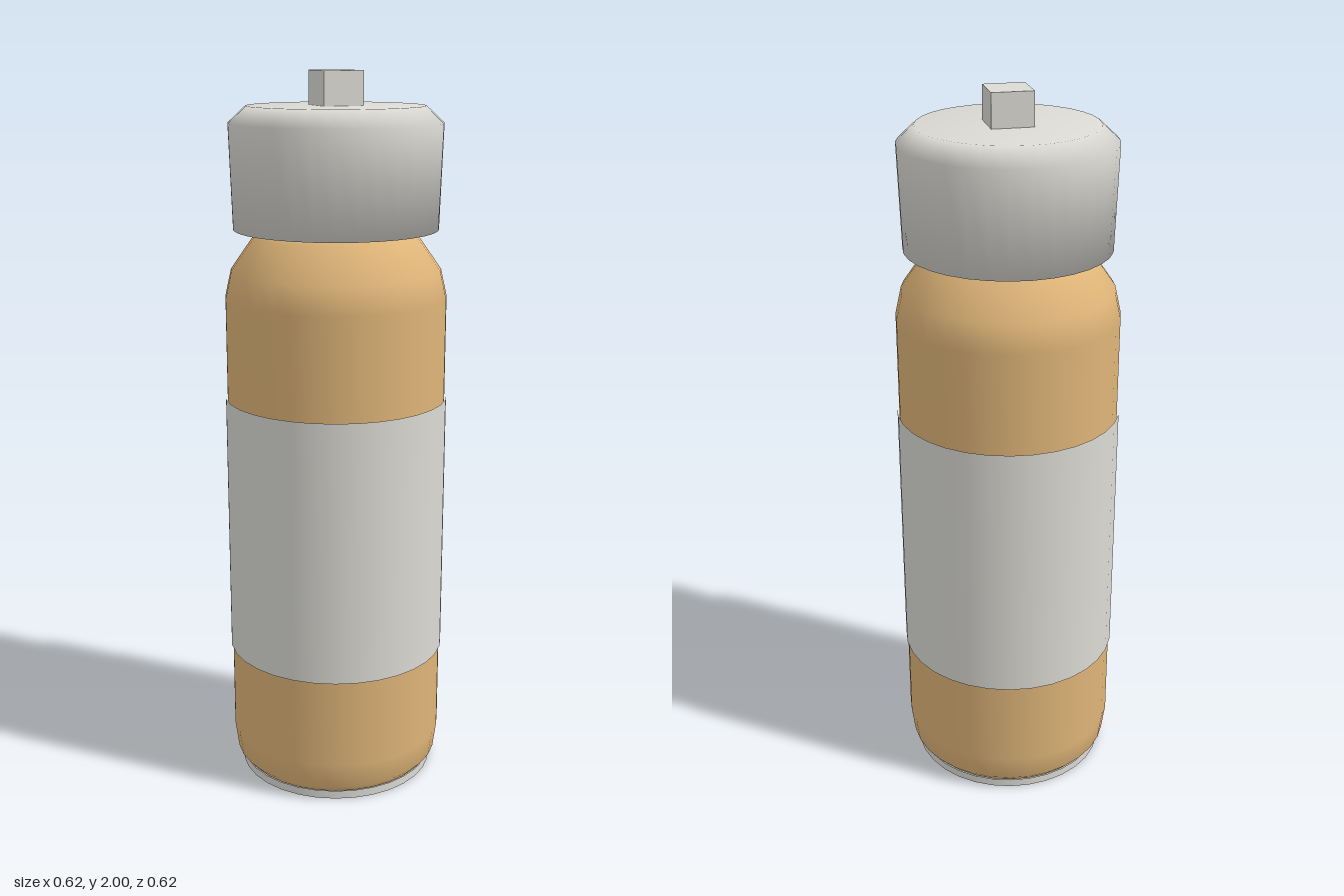
import * as THREE from 'three';

const SEGMENTS = 32;

export function createModel() {
  const model = new THREE.Group();
  model.name = 'bottle';

  const amber = new THREE.MeshStandardMaterial({ color: 0xdeb478 });
  amber.name = 'amber';
  const paleGrey = new THREE.MeshStandardMaterial({ color: 0xdbdad4 });
  paleGrey.name = 'pale grey';

  const add = (name, geometry, material, y = 0, parent = model) => {
    const mesh = new THREE.Mesh(geometry, material);
    mesh.name = name;
    mesh.position.y = y;
    parent.add(mesh);
    return mesh;
  };
  const lathe = (points) =>
    new THREE.LatheGeometry(points.map(([r, y]) => new THREE.Vector2(r, y)), SEGMENTS);

  // Body with a tucked foot and rounded shoulders
  add('body', lathe([
    [0.275, 0.022], [0.295, 0.045], [0.305, 0.12], [0.305, 1.4],
    [0.288, 1.475], [0.225, 1.565], [0.18, 1.588], [0, 1.588],
  ]), amber);

  // Label wrapped around the body
  add('label', new THREE.CylinderGeometry(0.31, 0.31, 0.745, SEGMENTS, 1, true), paleGrey, 0.7475);

  // Solid cap with soft shading across its edges
  add('cap', lathe([
    [0, 1.585], [0.28, 1.585], [0.289, 1.865], [0.24, 1.91], [0, 1.91],
  ]), paleGrey);

  // Square knob on the cap
  add('knob', new THREE.BoxGeometry(0.112, 0.112, 0.112), paleGrey, 1.944);

  // Base rim, closed by an amber underside with pale spokes
  add('baseRim', new THREE.CylinderGeometry(0.28, 0.28, 0.024, SEGMENTS, 1, true), paleGrey, 0.012);
  add('underside', new THREE.CircleGeometry(0.28, SEGMENTS).rotateX(Math.PI / 2), amber, 0.003);
  add('undersideRing', new THREE.RingGeometry(0.25, 0.28, SEGMENTS).rotateX(Math.PI / 2), paleGrey);
  const spokes = new THREE.Group();
  spokes.name = 'undersideSpokes';
  model.add(spokes);
  const count = 16;
  for (let i = 0; i < count; i++) {
    const start = (i / count) * Math.PI * 2;
    const wedge = new THREE.CircleGeometry(0.25, 2, start, Math.PI / count * 0.9);
    add('spoke', wedge.rotateX(Math.PI / 2), paleGrey, 0, spokes);
  }

  return model;
}
